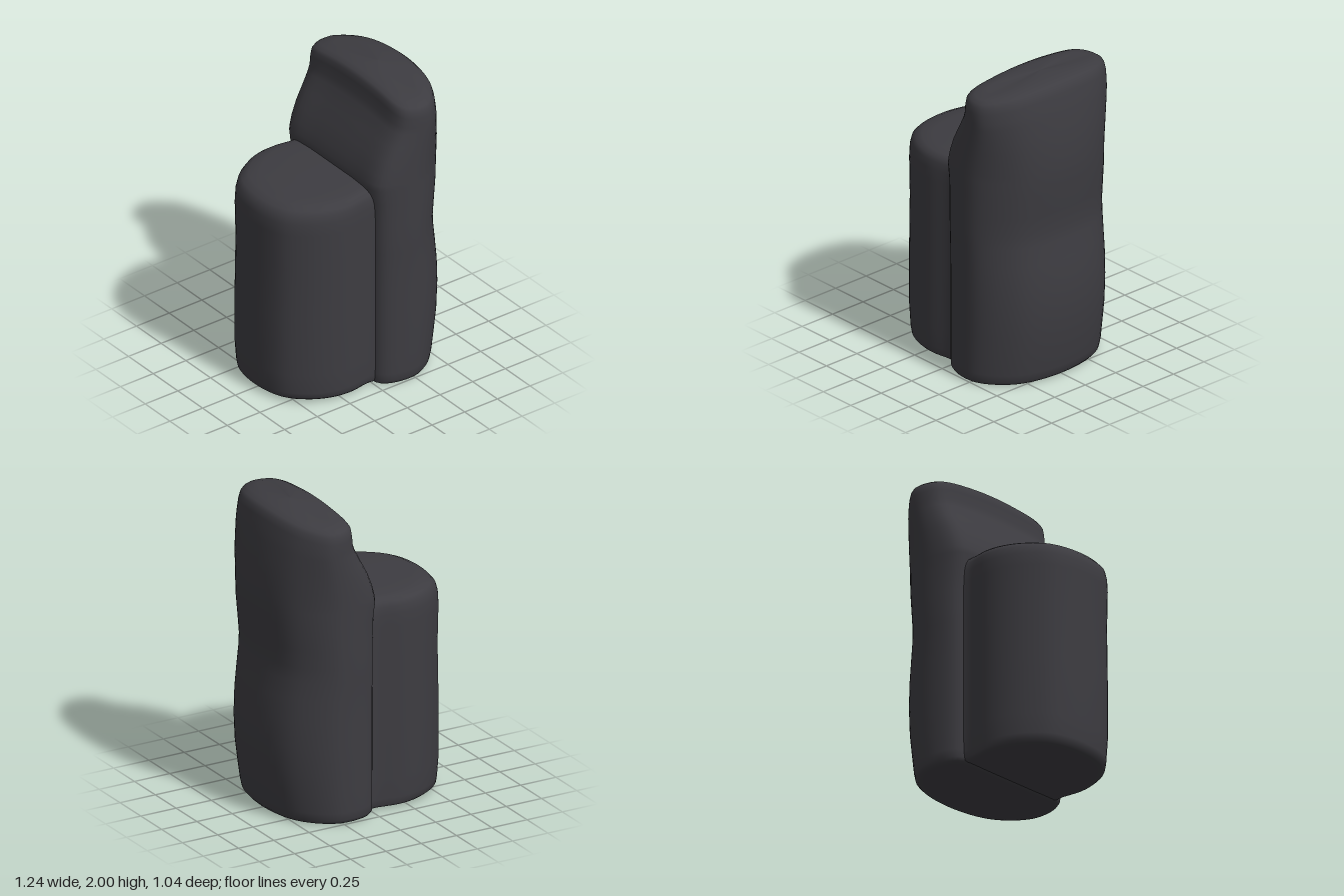
import * as THREE from 'three';

const upholstery = new THREE.MeshStandardMaterial({ color: 0x3d3c41 });
upholstery.name = 'charcoal upholstery';

// Mirror a half outline [u 0..1, z] across z = 0 and smooth it into a closed loop.
function outline(half, count) {
  const mirrored = half.slice(1, -1).reverse().map(([u, z]) => [u, -z]);
  const points = [...half, ...mirrored].map(([u, z]) => new THREE.Vector3(u, 0, z));
  return new THREE.CatmullRomCurve3(points, true, 'centripetal').getSpacedPoints(count).slice(0, count);
}

// Skin stacked rings [y, left x, right x, z scale]; drop(y, z) lowers the crown.
function loft(name, half, rings, drop) {
  const count = 72;
  const loop = outline(half, count);
  const positions = [];
  const index = [];
  rings.forEach(([y, left, right, scale], r) => {
    loop.forEach((p, i) => {
      const z = p.z * scale;
      positions.push(left + (right - left) * p.x, y - drop(y, z), z);
      if (r === rings.length - 1) return;
      const j = (i + 1) % count;
      const a = r * count + i, b = r * count + j;
      index.push(a, b, b + count, a, b + count, a + count);
    });
  });
  const geometry = new THREE.BufferGeometry();
  geometry.setAttribute('position', new THREE.Float32BufferAttribute(positions, 3));
  geometry.setIndex(index);
  geometry.computeVertexNormals();
  const mesh = new THREE.Mesh(geometry, upholstery);
  mesh.name = name;
  return mesh;
}

export function createModel() {
  const group = new THREE.Group();
  group.name = 'softChair';

  // Rounded seat block, its straight end buried in the backrest
  const seatHalf = [[0, 0], [0.015, 0.12], [0.07, 0.24], [0.22, 0.35], [0.4, 0.415],
    [0.58, 0.435], [0.8, 0.415], [1, 0.41], [1, 0]];
  const seatRings = [
    [0.01, 0.1, 0.1, 0],
    [0.01, -0.54, 0.1, 0.9],
    [0.015, -0.58, 0.1, 0.95],
    [0.03, -0.605, 0.1, 0.98],
    [0.07, -0.612, 0.1, 0.99],
    [0.2, -0.622, 0.1, 1],
    [0.6, -0.622, 0.1, 1],
    [0.95, -0.615, 0.1, 1],
    [1.2, -0.622, 0.1, 1],
    [1.28, -0.617, 0.1, 0.995],
    [1.33, -0.603, 0.1, 0.98],
    [1.36, -0.575, 0.1, 0.95],
    [1.38, -0.53, 0.1, 0.89],
    [1.39, -0.45, 0.1, 0.78],
    [1.396, -0.28, 0.1, 0.5],
    [1.396, 0.1, 0.1, 0],
  ];
  group.add(loft('seat', seatHalf, seatRings, () => 0));

  // Backrest with a bulging rear, a sloped upper front and a crowned top
  const backHalf = [[0, 0], [0, 0.2], [0, 0.4], [0.03, 0.45], [0.1, 0.485], [0.22, 0.51],
    [0.38, 0.52], [0.54, 0.505], [0.73, 0.435], [0.89, 0.32], [0.97, 0.18], [1, 0]];
  const backRings = [
    [0, 0.25, 0.25, 0],
    [0, 0.03, 0.5, 0.9],
    [0.008, 0.01, 0.54, 0.95],
    [0.03, 0, 0.56, 0.975],
    [0.08, 0, 0.572, 0.985],
    [0.2, 0, 0.592, 0.985],
    [0.35, 0, 0.613, 0.99],
    [0.52, 0, 0.622, 0.99],
    [0.68, 0, 0.616, 0.99],
    [0.82, 0, 0.6, 0.99],
    [0.94, 0, 0.583, 0.995],
    [1.03, 0, 0.577, 1],
    [1.15, 0, 0.588, 1],
    [1.3, -0.005, 0.604, 1],
    [1.4, -0.018, 0.609, 1],
    [1.44, -0.012, 0.61, 1],
    [1.5, 0.003, 0.61, 1],
    [1.6, 0.04, 0.606, 1],
    [1.7, 0.088, 0.595, 1],
    [1.8, 0.133, 0.58, 1],
    [1.85, 0.148, 0.57, 1],
    [1.92, 0.155, 0.555, 1],
    [1.96, 0.16, 0.542, 0.985],
    [1.98, 0.175, 0.52, 0.96],
    [1.993, 0.205, 0.48, 0.91],
    [2, 0.26, 0.42, 0.75],
    [2, 0.34, 0.34, 0],
  ];
  const crown = (y, z) => 0.055 * THREE.MathUtils.smoothstep(y, 1.5, 1.95) * (z / 0.5) ** 2;
  group.add(loft('backrest', backHalf, backRings, crown));

  return group;
}
